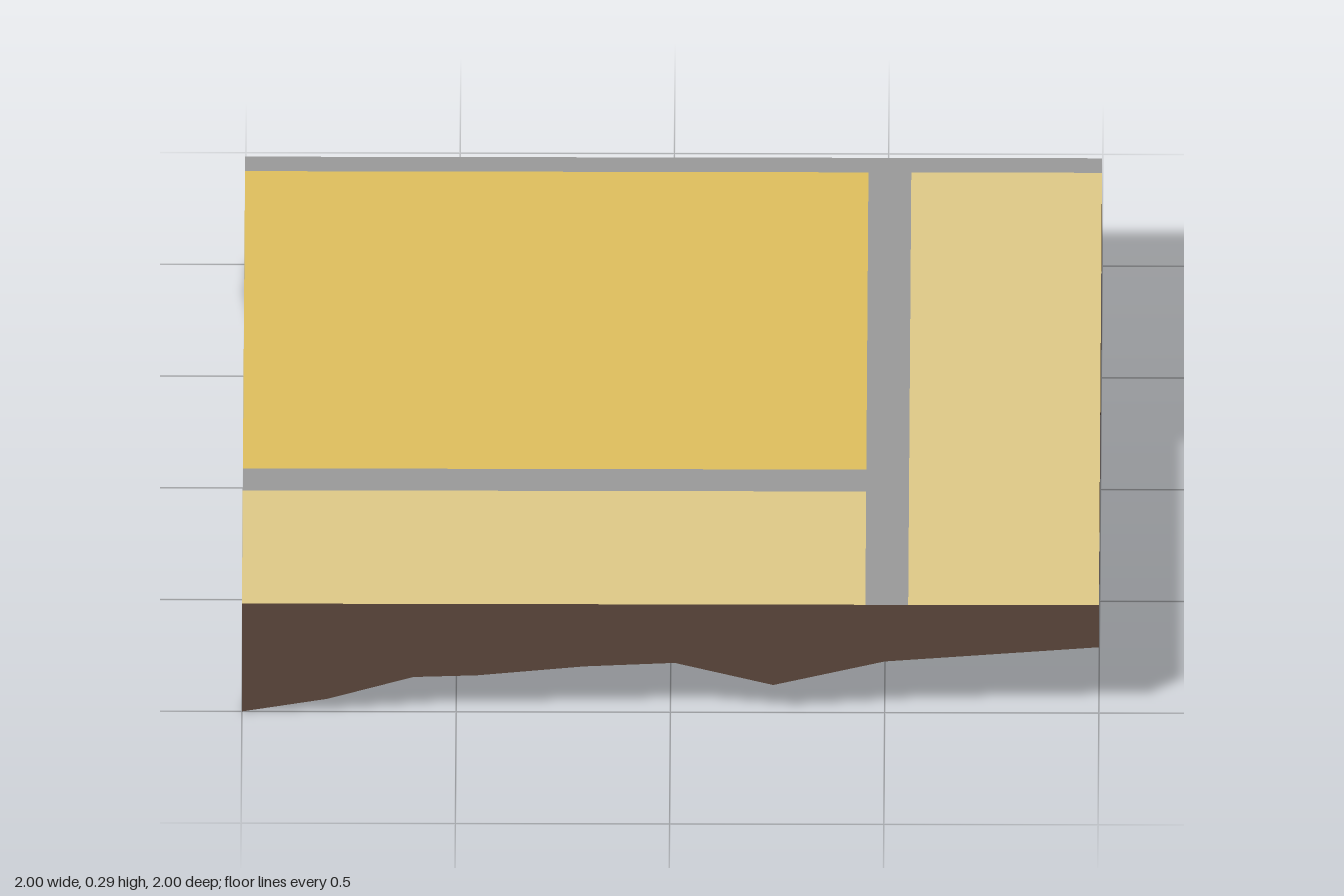
import * as THREE from 'three';

const TOP = 0.295;

// Lower outline of each side, as [position along the side, height]
const FRONT = [[-1, 0], [-0.8, 0.035], [-0.6, 0.095], [-0.45, 0.1], [-0.2, 0.125], [0.01, 0.135], [0.24, 0.075], [0.5, 0.14]];
const RIGHT = [[1, 0.18], [0.76, 0.205], [0.5, 0.165], [0.22, 0.12], [-0.05, 0.1], [-0.35, 0.095], [-0.67, 0.075], [-0.82, 0.118]];
const BACK = [[1, 0.14], [0.8, 0.095], [0.5, 0.095], [0.22, 0.073], [0, 0.055], [-0.22, 0.07], [-0.6, 0.036]];
const LEFT = [[-1, 0], [-0.85, 0], [-0.35, 0.095], [0, 0.1], [0.25, 0.095], [0.5, 0.055], [0.8, 0.065]];

function meshFromTriangles(name, points, material) {
  const geometry = new THREE.BufferGeometry().setFromPoints(points);
  geometry.computeVertexNormals();
  const mesh = new THREE.Mesh(geometry, material);
  mesh.name = name;
  return mesh;
}

export function createModel() {
  const model = new THREE.Group();
  model.name = 'groundTile';
  const paint = (color) => new THREE.MeshStandardMaterial({ color, flatShading: true });
  const earth = paint(0x5f4a3e);
  const yellow = paint(0xdcbd5c);
  const sand = paint(0xdcc785);
  const grey = paint(0x979797);

  // Ragged lower rim, running anticlockwise seen from above
  const rim = [
    ...FRONT.map(([x, y]) => new THREE.Vector3(x, y, 1)),
    ...RIGHT.map(([z, y]) => new THREE.Vector3(1, y, z)),
    ...BACK.map(([x, y]) => new THREE.Vector3(x, y, -1)),
    ...LEFT.map(([z, y]) => new THREE.Vector3(-1, y, z)),
  ];
  const centre = new THREE.Vector3(0, 0.11, 0);
  const inner = rim.map((p) => new THREE.Vector3(p.x * 0.7, THREE.MathUtils.lerp(p.y, centre.y, 0.75), p.z * 0.7));
  const raised = (p) => new THREE.Vector3(p.x, TOP, p.z);

  const walls = [];
  const underside = [];
  rim.forEach((a, i) => {
    const j = (i + 1) % rim.length;
    const b = rim[j];
    walls.push(a, b, raised(b), a, raised(b), raised(a));
    underside.push(b, a, inner[i], b, inner[i], inner[j], inner[j], inner[i], centre);
  });
  model.add(meshFromTriangles('earthSides', walls, earth));
  model.add(meshFromTriangles('earthUnderside', underside, earth));

  // Flat paving on top: [name, x from, x to, z from, z to, material]
  const paving = [
    ['backBorder', -1, 1, -1, -0.935, grey],
    ['longJoint', 0.455, 0.555, -0.935, 1, grey],
    ['shortJoint', -1, 0.455, 0.395, 0.493, grey],
    ['largeSlab', -1, 0.455, -0.935, 0.395, yellow],
    ['frontSlab', -1, 0.455, 0.493, 1, sand],
    ['sideSlab', 0.555, 1, -0.935, 1, sand],
  ];
  for (const [name, x0, x1, z0, z1, material] of paving) {
    const geometry = new THREE.PlaneGeometry(x1 - x0, z1 - z0).rotateX(-Math.PI / 2);
    const slab = new THREE.Mesh(geometry, material);
    slab.position.set((x0 + x1) / 2, TOP, (z0 + z1) / 2);
    slab.name = name;
    model.add(slab);
  }
  return model;
}
